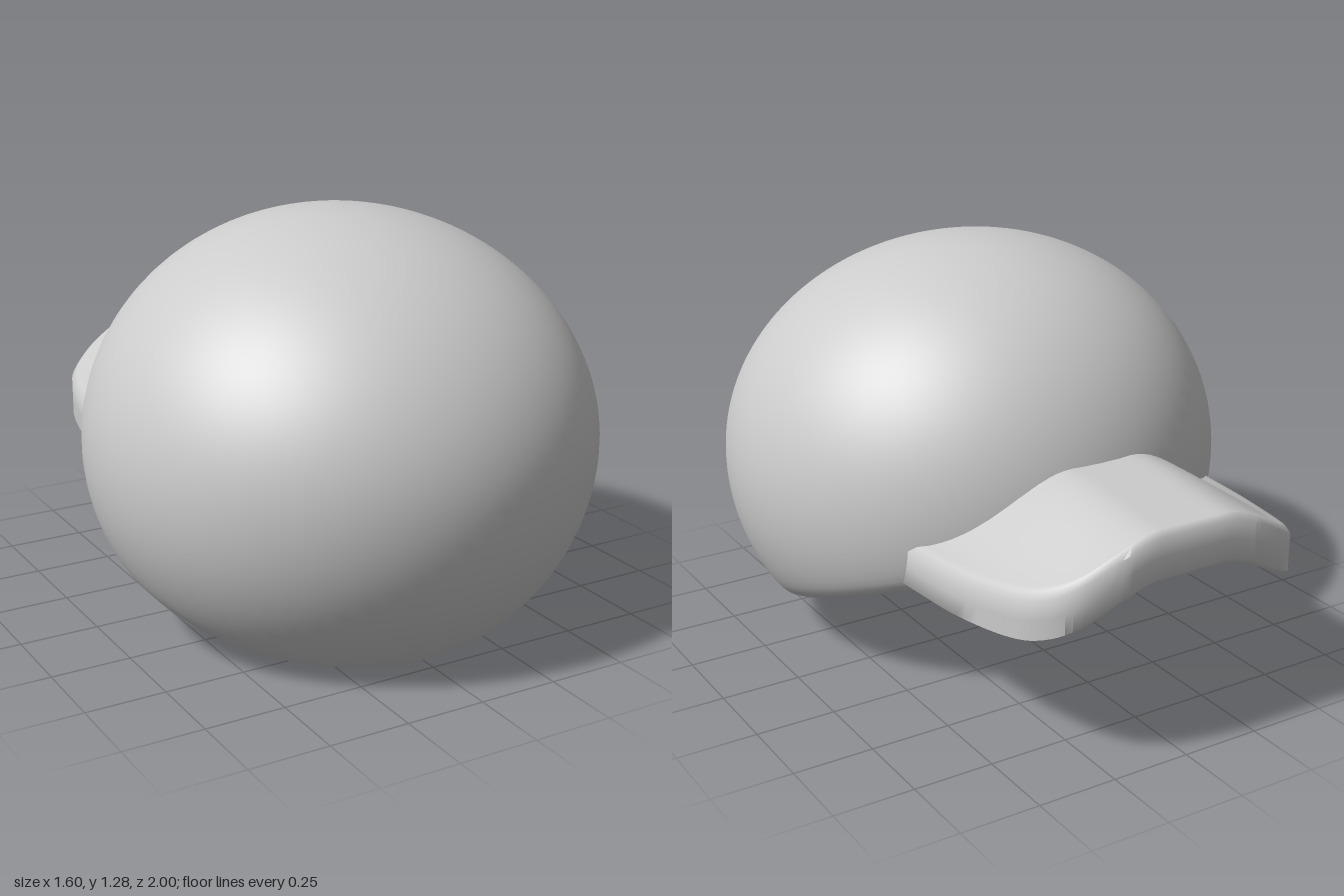
import * as THREE from 'three';
import { mergeVertices, toCreasedNormals } from 'three/addons/utils/BufferGeometryUtils.js';

const material = new THREE.MeshStandardMaterial({ color: 0xcccccc, side: THREE.DoubleSide });
const { smoothstep } = THREE.MathUtils;

// Hollow crown: an ellipsoid shell, flattened into a soft lip around a tilted opening
function createCrown() {
  const tilt = 0.362;
  const opening = 0.225;
  const softness = 0.025;
  const up = new THREE.Vector3(0, Math.cos(tilt), Math.sin(tilt));
  const geometry = new THREE.SphereGeometry(1, 80, 60, 0, Math.PI * 2, 0, 2.23);
  geometry.rotateX(tilt);
  const pos = geometry.attributes.position;
  const p = new THREE.Vector3();
  for (let i = 0; i < pos.count; i++) {
    p.fromBufferAttribute(pos, i);
    const lean = p.y > 0 ? 0.04 * p.y * p.y : 0;
    p.set(0.8 * p.x, 0.57 + (p.y > 0 ? 0.705 : 0.74) * p.y, 0.21 - lean + 0.79 * p.z);
    const height = p.dot(up);
    const lifted = opening + softness * Math.log(1 + Math.exp((height - opening) / softness));
    p.addScaledVector(up, lifted - height);
    pos.setXYZ(i, p.x, p.y, p.z);
  }
  geometry.deleteAttribute('normal');
  geometry.deleteAttribute('uv');
  const merged = mergeVertices(geometry);
  merged.computeVertexNormals();
  const crown = new THREE.Mesh(merged, material);
  crown.name = 'crown';
  return crown;
}

// Arched brim: a box whose rows follow a rounded outline, droop at the sides
// and thicken underneath towards the crown
function createBrim() {
  const outline = new THREE.SplineCurve([
    [0.55, -0.32], [0.543, -0.42], [0.525, -0.6], [0.48, -0.8],
    [0.43, -0.9], [0.35, -0.965], [0.22, -1],
  ].map(([x, z]) => new THREE.Vector2(x, z)));
  const depths = [1, 0.9, 0.5, 0.1, 0];
  const geometry = new THREE.BoxGeometry(2, 4, 1, 40, 4, 30);
  const pos = geometry.attributes.position;
  for (let i = 0; i < pos.count; i++) {
    const u = pos.getX(i);
    const layer = Math.round(pos.getY(i) + 2);
    const t = 0.5 - pos.getZ(i);
    const row = outline.getPoint(t);
    const inset = layer === 0 || layer === 4 ? 0.018 : 0;
    const x = u * (row.x - inset);
    const z = row.y + inset * t ** 4 - 0.1 * (1 - u * u) * (1 - t) ** 2;
    const droop = smoothstep(Math.abs(x), 0.1, 0.56);
    const middle = 1 - droop;
    const top = 0.745 - 0.215 * droop - 0.03 * middle * smoothstep(-z, 0.6, 1);
    const thickness = 0.14 + middle * THREE.MathUtils.mapLinear(z, -1, -0.42, 0.01, 0.2);
    pos.setXYZ(i, x, top - thickness * depths[layer], z);
  }
  geometry.deleteAttribute('normal');
  geometry.deleteAttribute('uv');
  const brim = new THREE.Mesh(toCreasedNormals(mergeVertices(geometry), 0.95), material);
  brim.name = 'brim';
  return brim;
}

export function createModel() {
  const cap = new THREE.Group();
  cap.name = 'cap';
  cap.add(createCrown(), createBrim());
  return cap;
}
